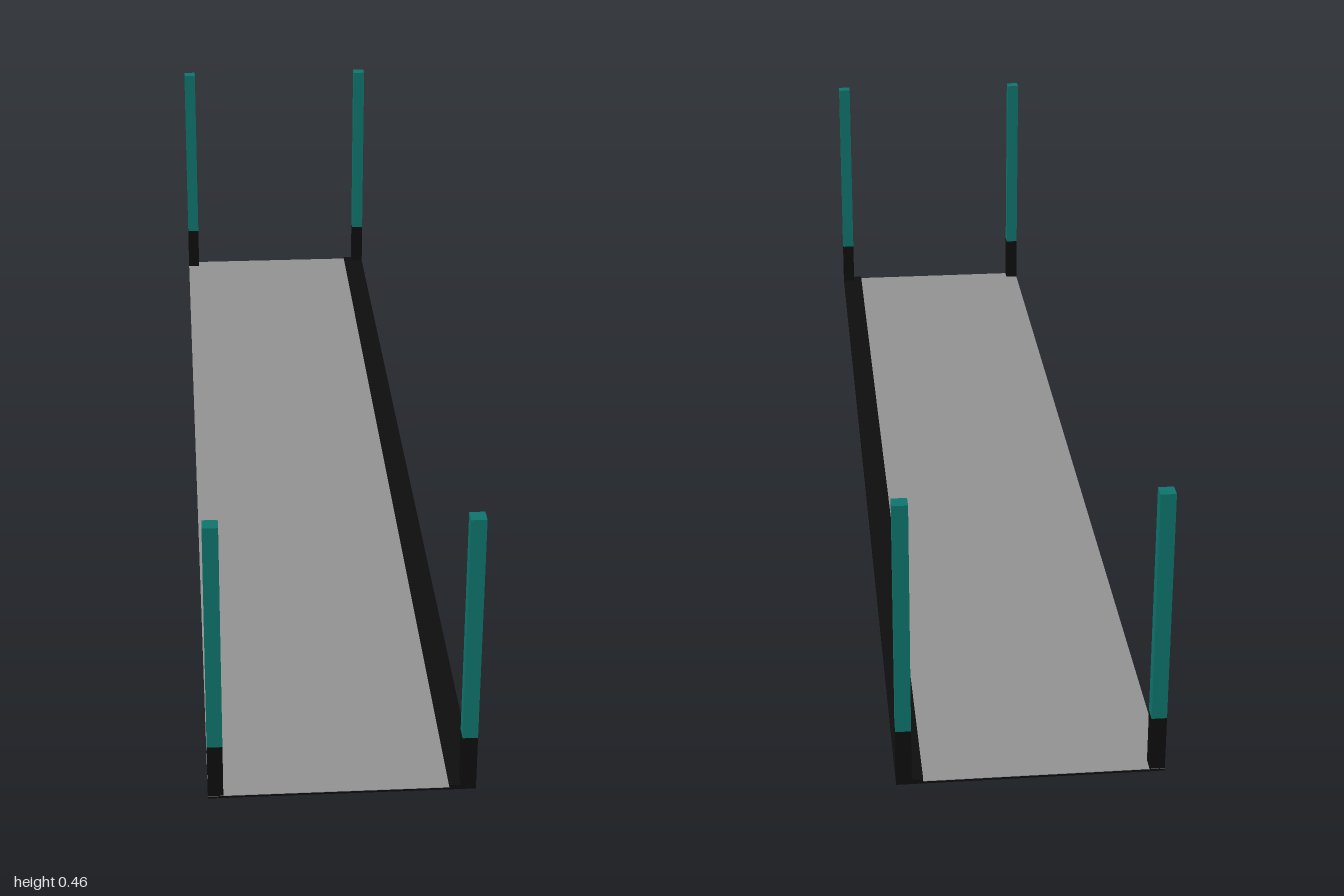
import * as THREE from 'three';

export function createModel() {
  const model = new THREE.Group();
  model.name = 'platformWithPosts';

  const paint = (name, hex) => {
    const m = new THREE.MeshStandardMaterial({ color: hex });
    m.name = name;
    return m;
  };
  const black = paint('black', 0x0e0e0e);
  const gray = paint('gray', 0x949494);
  const teal = paint('teal', 0x0f766e);

  // Box given by its lower and upper corners
  const box = (name, material, [x0, y0, z0], [x1, y1, z1], parent = model) => {
    const mesh = new THREE.Mesh(new THREE.BoxGeometry(x1 - x0, y1 - y0, z1 - z0), material);
    mesh.position.set((x0 + x1) / 2, (y0 + y1) / 2, (z0 + z1) / 2);
    mesh.name = name;
    parent.add(mesh);
  };

  const W = 0.2, L = 1, post = 0.023, sleeveTop = 0.092, postTop = 0.463;

  // Thin deck: black slab, gray walking surface, raised black strip along the left edge
  box('deckSlab', black, [-W, 0, -L], [W, 0.0035, L]);
  box('deckSurface', gray, [-W, 0.0035, -L], [0.16, 0.0043, L]);
  box('edgeStrip', black, [0.16, 0.0035, -L], [W, 0.008, L]);

  // Corner posts: black sleeve below, teal shaft above
  for (const sx of [-1, 1]) {
    for (const sz of [-1, 1]) {
      const corner = new THREE.Group();
      corner.name = (sz > 0 ? 'front' : 'back') + (sx > 0 ? 'Left' : 'Right') + 'Post';
      corner.position.set(sx * (W - post / 2), 0, sz * (L - post / 2));
      const h = post / 2;
      box('sleeve', black, [-h, 0.0035, -h], [h, sleeveTop, h], corner);
      box('shaft', teal, [-h, sleeveTop, -h], [h, postTop, h], corner);
      model.add(corner);
    }
  }
  return model;
}
